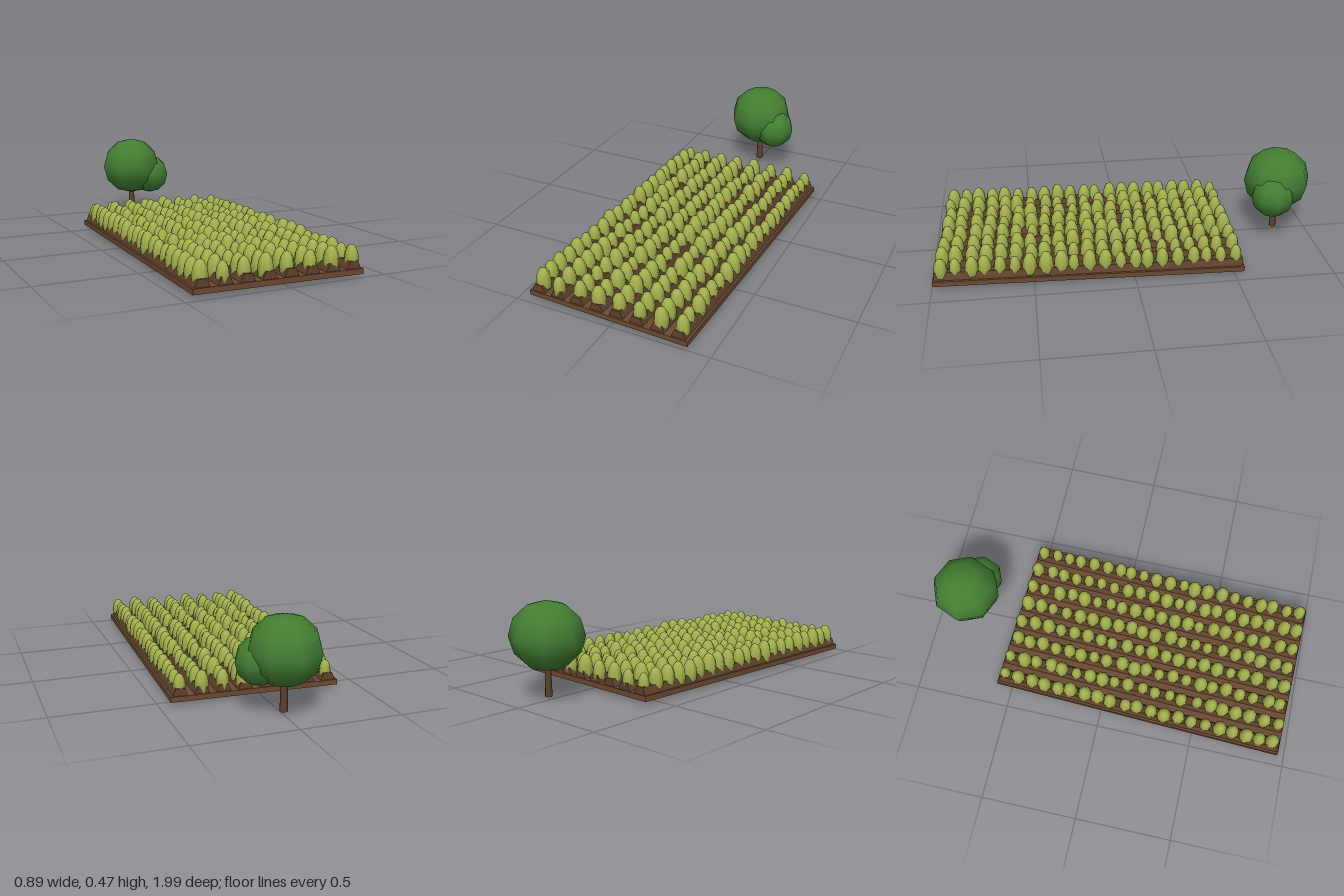
import * as THREE from 'three';

const mat = (name, color) => {
  const m = new THREE.MeshStandardMaterial({ color });
  m.name = name;
  return m;
};

export function createModel() {
  const soil = mat('soil', 0x6b4a32);
  const ridgeSoil = mat('ridge soil', 0x5f422c);
  const bark = mat('bark', 0x5e4030);
  const crop = mat('crop', 0xa4b04e);
  const leaves = mat('leaves', 0x437f33);

  const add = (parent, name, geometry, material, x, y, z) => {
    const mesh = new THREE.Mesh(geometry, material);
    mesh.name = name;
    mesh.position.set(x, y, z);
    parent.add(mesh);
    return mesh;
  };

  let seed = 7;
  const rand = () => (seed = (seed * 16807) % 2147483647) / 2147483647;
  const spread = (a) => (rand() * 2 - 1) * a;

  const model = new THREE.Group();
  model.name = 'cropFieldWithTree';

  // Field, turned slightly
  const field = new THREE.Group();
  field.name = 'field';
  field.position.set(-0.003, 0, 0.207);
  field.rotation.y = -0.038;
  model.add(field);
  add(field, 'soilBed', new THREE.BoxGeometry(0.836, 0.026, 1.545), soil, 0, 0.032, 0);

  // Raised ridge, trapezoid in section
  const section = new THREE.Shape([
    new THREE.Vector2(-0.036, 0), new THREE.Vector2(0.036, 0),
    new THREE.Vector2(0.021, 0.037), new THREE.Vector2(-0.021, 0.037),
  ]);
  const ridgeLength = 1.53;
  const ridgeGeo = new THREE.ExtrudeGeometry(section, { depth: ridgeLength, bevelEnabled: false });
  ridgeGeo.translate(0, 0, -ridgeLength / 2);

  // Rows of egg-shaped plants of uneven size
  const plantGeo = new THREE.SphereGeometry(1, 7, 6);
  const rows = 8, perRow = 21;
  for (let i = 0; i < rows; i++) {
    const x = (i - (rows - 1) / 2) * 0.106;
    add(field, 'ridge', ridgeGeo, ridgeSoil, x, 0.044, 0);
    for (let j = 0; j < perRow; j++) {
      const z = (j - (perRow - 1) / 2) * 0.0732;
      const h = 0.058 + rand() * 0.022;
      const plant = add(field, 'plant', plantGeo, crop, x + spread(0.006), 0.084, z + spread(0.008));
      plant.scale.set(h * 0.5, h, h * 0.5);
      plant.rotation.y = rand() * Math.PI;
    }
  }

  // Tree behind the field
  const tree = new THREE.Group();
  tree.name = 'tree';
  tree.position.set(0, 0, -0.822);
  model.add(tree);
  add(tree, 'trunk', new THREE.CylinderGeometry(0.015, 0.019, 0.16, 6), bark, 0, 0.102, 0);
  const crownGeo = new THREE.SphereGeometry(1, 8, 6);
  add(tree, 'mainCrown', crownGeo, leaves, 0, 0.31, 0).scale.set(0.178, 0.165, 0.178);
  add(tree, 'sideCrown', crownGeo, leaves, 0.103, 0.258, 0.045).scale.set(0.115, 0.112, 0.115);

  return model;
}
